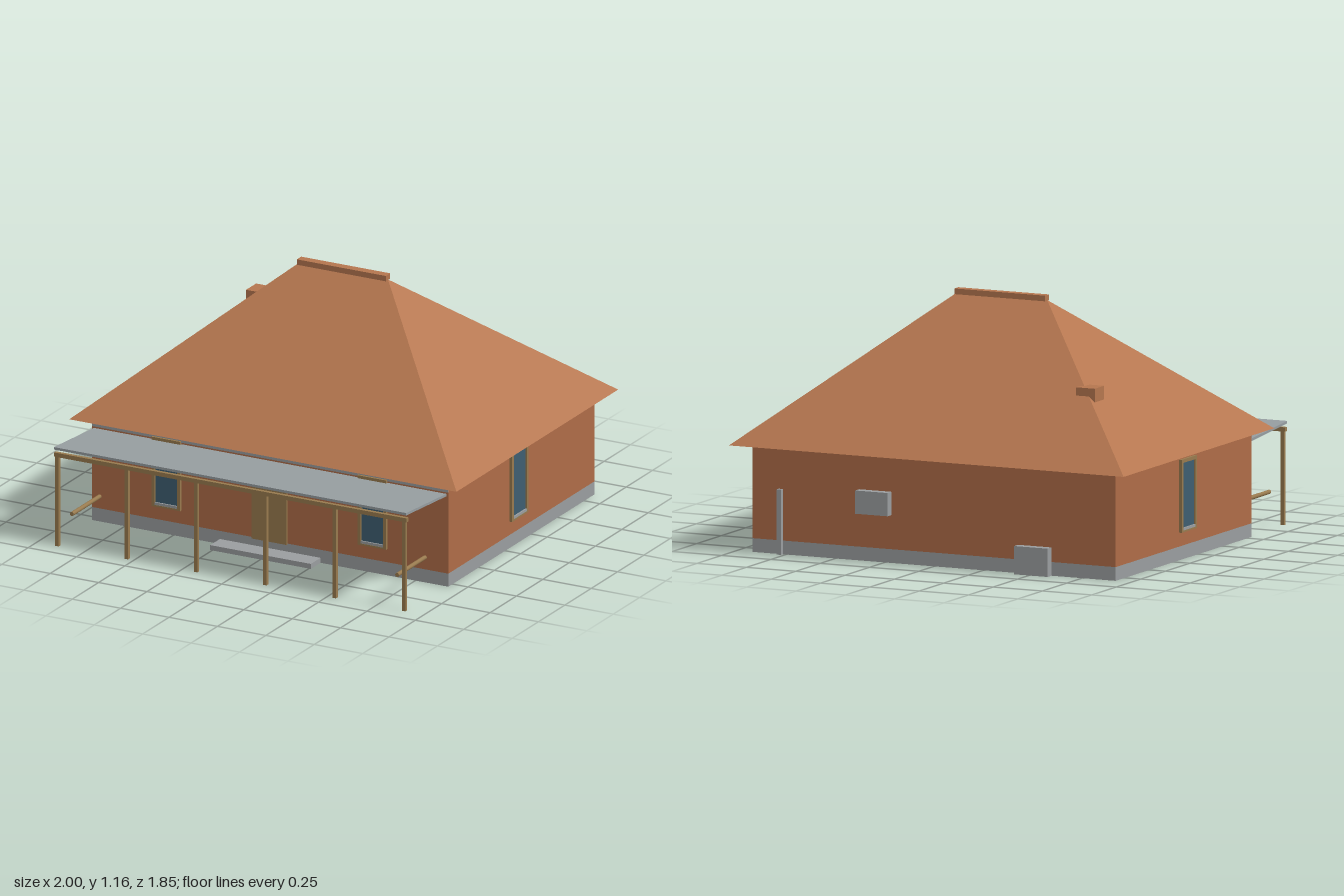
import * as THREE from 'three';

const mat = (name, color) => {
  const m = new THREE.MeshStandardMaterial({ color });
  m.name = name;
  return m;
};

export function createModel() {
  const house = new THREE.Group();
  house.name = 'house';
  const roofTile = mat('roofTile', 0xb5764f);
  const brick = mat('brick', 0xae6c47);
  const concrete = mat('concrete', 0x9a9d9f);
  const sheet = mat('canopySheet', 0x969da0);
  const wood = mat('wood', 0x987a4e);
  const glass = mat('glass', 0x3e5e70);

  // Box given by its minimum and maximum corners
  const box = (name, material, [x0, y0, z0], [x1, y1, z1], parent = house) => {
    const mesh = new THREE.Mesh(new THREE.BoxGeometry(x1 - x0, y1 - y0, z1 - z0), material);
    mesh.position.set((x0 + x1) / 2, (y0 + y1) / 2, (z0 + z1) / 2);
    mesh.name = name;
    parent.add(mesh);
    return mesh;
  };

  // Walls on a concrete plinth
  box('plinth', concrete, [-0.92, 0, -0.845], [0.92, 0.063, 0.54]);
  box('walls', brick, [-0.92, 0.063, -0.845], [0.92, 0.495, 0.54]);
  box('frontBand', concrete, [-0.92, 0.455, 0.539], [0.92, 0.495, 0.543]);

  // Hipped roof: four eave corners, two ridge ends, flat soffit
  const eave = 0.495, top = 1.14, zr = -0.155;
  const c = [[-1, eave, 0.61], [1, eave, 0.61], [1, eave, -0.925], [-1, eave, -0.925],
    [-0.23, top, zr], [0.23, top, zr]];
  const faces = [[0, 1, 5], [0, 5, 4], [1, 2, 5], [2, 3, 4], [2, 4, 5], [3, 0, 4], [0, 3, 2], [0, 2, 1]];
  const roofGeo = new THREE.BufferGeometry();
  roofGeo.setAttribute('position',
    new THREE.Float32BufferAttribute(faces.flat().flatMap((i) => c[i]), 3));
  roofGeo.computeVertexNormals();
  const roof = new THREE.Mesh(roofGeo, roofTile);
  roof.name = 'roof';
  house.add(roof);
  box('ridgeCap', roofTile, [-0.23, 1.137, -0.176], [0.23, 1.163, -0.135]);
  box('chimney', roofTile, [-0.68, 0.75, -0.575], [-0.585, 0.826, -0.48]);

  // Window facing +z, standing on its bottom edge: frame, pane and sill
  const addWindow = (name, w, x, z, turn) => {
    const g = new THREE.Group();
    g.name = name;
    const h = 0.335, f = 0.016, d = 0.013;
    for (const s of [-1, 1]) {
      const xo = s * (w - f) / 2;
      box('frameSide', wood, [xo - f / 2, 0, -0.005], [xo + f / 2, h, d], g);
    }
    box('frameBottom', wood, [-w / 2 + f, 0, -0.005], [w / 2 - f, 0.008, d], g);
    box('frameTop', wood, [-w / 2 + f, h - f, -0.005], [w / 2 - f, h, d], g);
    box('pane', glass, [-w / 2 + f, 0.008, -0.002], [w / 2 - f, h - f, 0.005], g);
    box('sill', concrete, [-w / 2 + f, 0.008, 0], [w / 2 - f, 0.02, 0.012], g);
    g.position.set(x, 0.127, z);
    g.rotation.y = turn;
    house.add(g);
  };
  for (const s of [-1, 1]) {
    addWindow('frontWindow', 0.148, s * 0.532, 0.54, 0);
    addWindow('sideWindow', 0.156, s * 0.92, -0.12, s * Math.PI / 2);
  }

  // Door and step
  box('door', wood, [-0.09, 0.06, 0.535], [0.09, 0.44, 0.552]);
  box('step', concrete, [-0.26, 0, 0.54], [0.26, 0.024, 0.632]);

  // Canopy sheet rising towards the front
  const profile = new THREE.Shape([[-0.54, 0.435], [-0.922, 0.465], [-0.922, 0.477], [-0.54, 0.447]]
    .map(([x, y]) => new THREE.Vector2(x, y)));
  const canopy = new THREE.Mesh(
    new THREE.ExtrudeGeometry(profile, { depth: 1.82, bevelEnabled: false }), sheet);
  canopy.rotation.y = Math.PI / 2;
  canopy.position.x = -0.91;
  canopy.name = 'canopy';
  house.add(canopy);

  // Posts, front beam and side rails
  for (let i = 0; i < 6; i++) {
    const x = -0.895 + i * 0.358;
    box('canopyPost', wood, [x - 0.009, 0, 0.901], [x + 0.009, 0.43, 0.919]);
  }
  box('canopyBeam', wood, [-0.91, 0.43, 0.901], [0.91, 0.45, 0.919]);
  for (const s of [-1, 1]) {
    const rail = new THREE.Mesh(new THREE.CylinderGeometry(0.01, 0.01, 0.265, 12), wood);
    rail.rotation.x = Math.PI / 2;
    rail.position.set(s * 0.84, 0.152, 0.747);
    rail.name = 'sideRail';
    house.add(rail);
  }

  // Service boxes and pipe on the back wall
  box('upperServiceBox', concrete, [0.215, 0.22, -0.885], [0.38, 0.327, -0.845]);
  box('lowerServiceBox', concrete, [-0.595, 0, -0.885], [-0.425, 0.13, -0.845]);
  box('backPipe', concrete, [0.765, 0, -0.866], [0.787, 0.3, -0.845]);

  return house;
}
